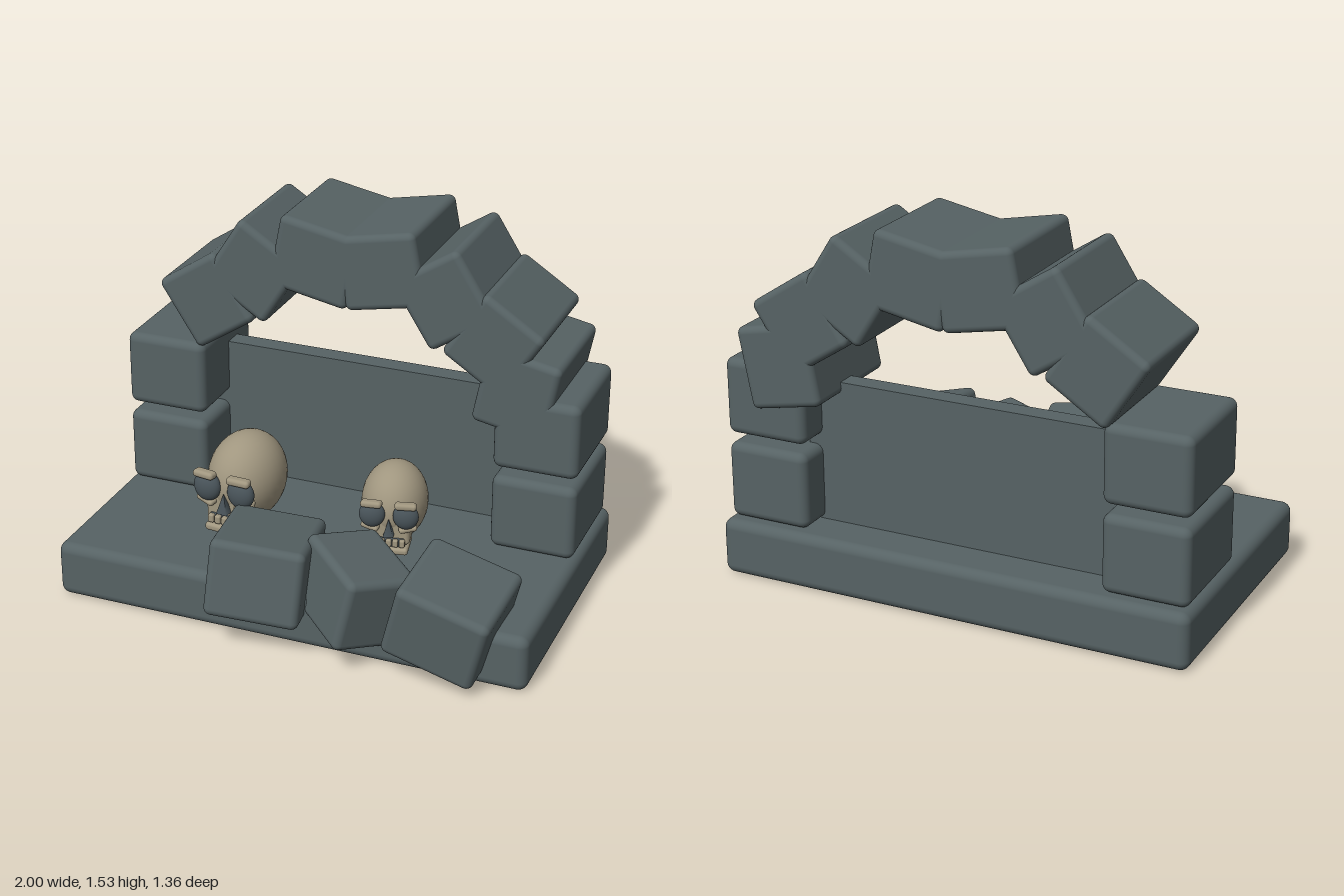
import * as THREE from 'three';
import { RoundedBoxGeometry } from 'three/addons/geometries/RoundedBoxGeometry.js';

const material = (name, color) => {
  const m = new THREE.MeshStandardMaterial({ color });
  m.name = name;
  return m;
};

export function createModel() {
  const stone = material('slate stone', 0x566264);
  const bone = material('old bone', 0xa0967f);
  const socket = material('dark socket', 0x4a555b);
  const model = new THREE.Group();
  model.name = 'ruinedArch';

  const add = (parent, name, geometry, mat, position, rotation = [0, 0, 0]) => {
    const mesh = new THREE.Mesh(geometry, mat);
    mesh.name = name;
    mesh.position.set(...position);
    mesh.rotation.set(...rotation.map(THREE.MathUtils.degToRad), 'YXZ');
    parent.add(mesh);
    return mesh;
  };
  const block = (name, size, position, rotation, radius = 0.035) =>
    add(model, name, new RoundedBoxGeometry(...size, 4, radius), stone, position, rotation);

  // Floor slab and rear wall
  block('base', [2, 0.235, 1.17], [0, 0.1175, -0.105], [0, 0, 0], 0.04);
  add(model, 'backWall', new THREE.BoxGeometry(1.38, 0.61, 0.085), stone, [0, 0.525, -0.458]);

  // Pillars and the mirrored arch stones
  for (const s of [-1, 1]) {
    for (const y of [0.395, 0.752]) {
      block('pillarBlock', [0.352, 0.318, 0.48], [s * 0.806, y, -0.405]);
    }
    const arch = [
      [0.14, 1.348, 0.345, 0.31, 11],
      [0.408, 1.268, 0.32, 0.32, 32.5],
      [0.615, 1.11, 0.3, 0.325, -33],
    ];
    for (const [x, y, w, h, tilt] of arch) {
      block('archBlock', [w, h, 0.515], [s * x, y, -0.4225], [0, 0, s * tilt], 0.028);
    }
  }
  block('archSpringer', [0.31, 0.335, 0.515], [0.717, 0.92, -0.4225], [0, 0, -11], 0.028);

  // Fallen blocks at the front
  block('fallenBlockLeft', [0.38, 0.32, 0.44], [-0.105, 0.285, 0.405], [-8, 11, -5], 0.03);
  block('fallenBlockMiddle', [0.38, 0.31, 0.31], [0.275, 0.265, 0.405], [-10, -40, -8], 0.03);
  block('fallenBlockRight', [0.385, 0.32, 0.4], [0.675, 0.252, 0.412], [6, -2, -15], 0.03);

  // Skull, measured from the middle of its cranium
  const makeSkull = (name, position, scale, yaw) => {
    const skull = new THREE.Group();
    skull.name = name;
    skull.position.set(...position);
    skull.rotation.y = THREE.MathUtils.degToRad(yaw);
    skull.scale.setScalar(scale);
    model.add(skull);
    const ball = new THREE.SphereGeometry(1, 32, 20);
    const box = (part, w, h, d, r, mat, pos, rot) =>
      add(skull, part, new RoundedBoxGeometry(w, h, d, 3, r), mat, pos, rot);

    add(skull, 'cranium', ball, bone, [0, 0, 0]).scale.set(0.155, 0.19, 0.19);
    box('upperJaw', 0.19, 0.12, 0.15, 0.02, bone, [0, -0.085, 0.105]);
    box('lowerJaw', 0.18, 0.034, 0.16, 0.014, bone, [0, -0.168, 0.125]);
    box('mouthGap', 0.15, 0.05, 0.12, 0.01, socket, [0, -0.13, 0.125]);
    for (const s of [-1, 1]) {
      add(skull, 'eyeSocket', ball, socket, [s * 0.078, 0.015, 0.19]).scale.set(0.06, 0.064, 0.036);
      box('brow', 0.1, 0.032, 0.045, 0.014, bone, [s * 0.079, 0.076, 0.207], [0, s * 8, s * -3]);
      box('cheekbone', 0.085, 0.026, 0.06, 0.012, bone, [s * 0.085, -0.047, 0.175], [15, s * 15, s * 12]);
    }
    // Four sided nose hole
    const nose = add(skull, 'noseHole', new THREE.ConeGeometry(0.034, 0.085, 4), socket, [0, -0.045, 0.195]);
    nose.rotation.y = Math.PI / 4;
    for (let i = 0; i < 5; i++) {
      box('tooth', 0.026, 0.036, 0.025, 0.007, bone, [(i - 2) * 0.031, -0.128, 0.19]);
    }
  };
  makeSkull('largeSkull', [-0.36, 0.45, 0], 1, -6);
  makeSkull('smallSkull', [0.26, 0.425, -0.07], 0.87, 12);

  return model;
}
